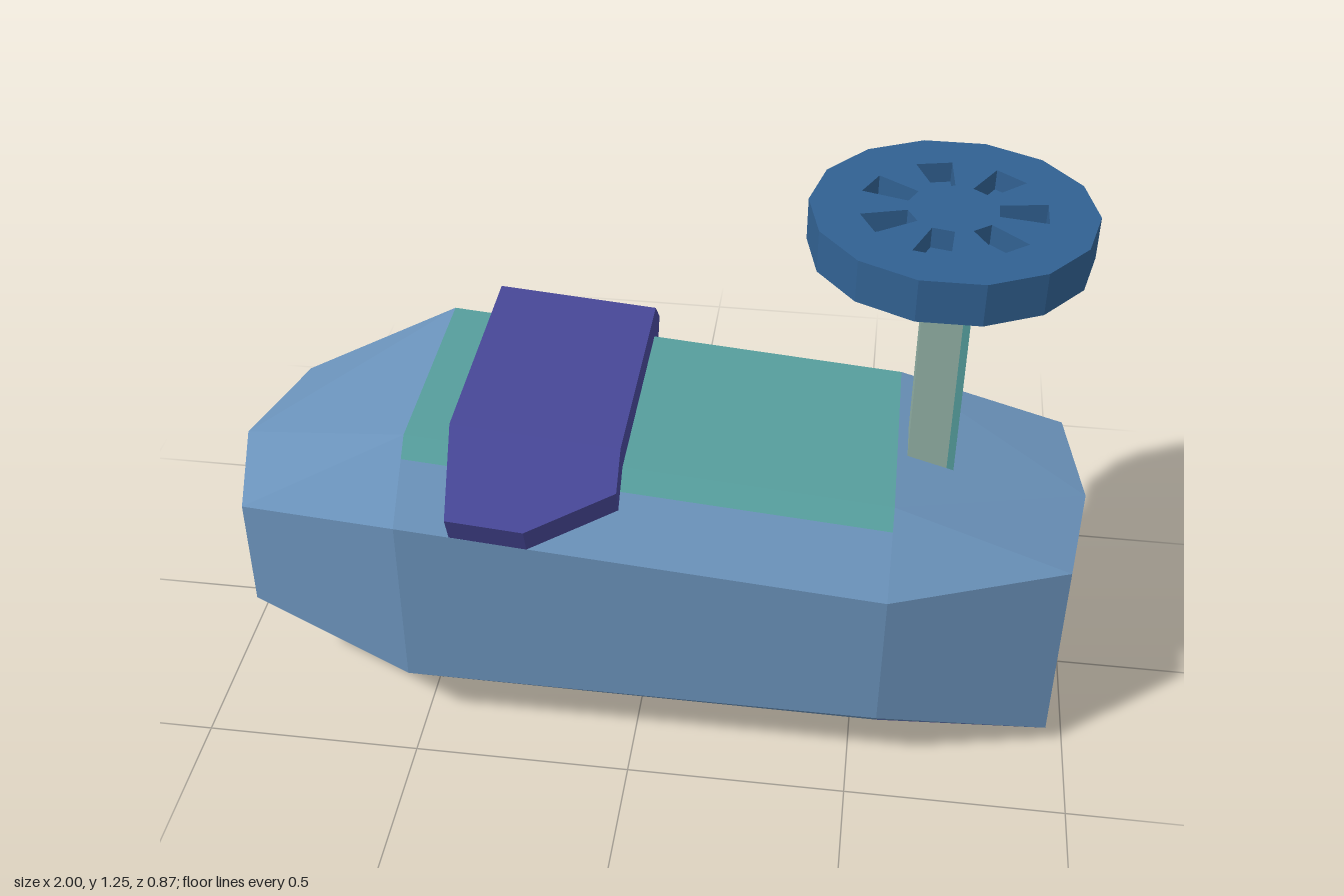
import * as THREE from 'three';

const mat = (name, color) => {
  const m = new THREE.MeshStandardMaterial({ color, flatShading: true });
  m.name = name;
  return m;
};

// Flat-faced geometry from convex polygons; with a centre given, faces are turned away from it
function facesGeometry(polys, centre) {
  const pos = [];
  for (const poly of polys) {
    const p = poly.map((c) => new THREE.Vector3(...c));
    for (let i = 1; i < p.length - 1; i++) {
      let tri = [p[0], p[i], p[i + 1]];
      if (centre) {
        const n = new THREE.Triangle(...tri).getNormal(new THREE.Vector3());
        if (n.dot(tri[0].clone().sub(centre)) < 0) tri = [tri[0], tri[2], tri[1]];
      }
      for (const v of tri) pos.push(v.x, v.y, v.z);
    }
  }
  const g = new THREE.BufferGeometry();
  g.setAttribute('position', new THREE.Float32BufferAttribute(pos, 3));
  g.computeVertexNormals();
  return g;
}

const lerp = (a, b, t) => a.map((v, i) => v + (b[i] - v) * t);
const flip = (p) => [p[0], p[1], -p[2]];

export function createModel() {
  const model = new THREE.Group();
  const blue = mat('bodyBlue', 0x6a92ba);
  const teal = mat('deckTeal', 0x57a09f);
  const purple = mat('bandPurple', 0x484899);
  const indigo = mat('undersideIndigo', 0x6468c0);
  const navy = mat('wheelNavy', 0x316192);
  const sage = mat('postSage', 0x93b2a6);
  const add = (name, geometry, material, parent = model) => {
    const m = new THREE.Mesh(geometry, material);
    m.name = name;
    parent.add(m);
    return m;
  };

  // Hull stations: edge points on the +z side, top to bottom
  const stations = [
    { x: -0.53, top: 0.74, high: 0.59, low: 0.155, base: 0.092, paint: 0.2, endX: -0.925, tipX: -1, endHigh: 0.51, endLow: 0.232 },
    { x: 0.56, top: 0.65, high: 0.5, low: 0.153, base: 0, paint: 0.06, endX: 0.957, tipX: 1, endHigh: 0.523, endLow: 0.048 },
  ].map((s) => {
    const T = [s.x, s.top, 0.262], H = [s.x, s.high, 0.41];
    const L = [s.x, s.low, 0.41], B = [s.x, s.base, 0.262];
    return {
      T, H, L, B,
      deckEdge: lerp(T, H, 0.26), baseEdge: lerp(B, L, s.paint), endBaseEdge: lerp(B, L, 0.32),
      EH: [s.endX, s.endHigh, 0.283], EL: [s.endX, s.endLow, 0.283],
      tipH: [s.tipX, s.endHigh, 0], tipL: [s.tipX, s.endLow, 0],
    };
  });
  const [a, b] = stations;
  const shell = [], deck = [], underside = [];
  const both = (list, poly) => list.push(poly, poly.map(flip));

  // Middle section
  both(shell, [a.deckEdge, b.deckEdge, b.H, a.H]);
  both(shell, [a.H, b.H, b.L, a.L]);
  both(shell, [a.L, b.L, b.baseEdge, a.baseEdge]);
  both(deck, [a.T, b.T, b.deckEdge, a.deckEdge]);
  deck.push([a.T, b.T, flip(b.T), flip(a.T)]);
  both(underside, [a.B, b.B, b.baseEdge, a.baseEdge]);
  underside.push([a.B, b.B, flip(b.B), flip(a.B)]);

  // Tapered ends, with top and bottom fanned from the tip
  for (const s of stations) {
    both(shell, [s.T, s.H, s.EH]);
    both(shell, [s.H, s.L, s.EL, s.EH]);
    both(shell, [s.L, s.endBaseEdge, s.EL]);
    both(shell, [s.EH, s.EL, s.tipL, s.tipH]);
    shell.push([s.tipH, flip(s.EH), flip(s.T), s.T, s.EH]);
    both(underside, [s.B, s.endBaseEdge, s.EL]);
    underside.push([s.tipL, flip(s.EL), flip(s.B), s.B, s.EL]);
  }
  const centre = new THREE.Vector3(0, 0.35, 0);
  add('hull', facesGeometry(shell, centre), blue);
  add('deck', facesGeometry(deck, centre), teal);
  add('underside', facesGeometry(underside, centre), indigo);

  // Folded band over the deck: flat middle and two pointed side flaps
  const band = new THREE.Group();
  band.name = 'band';
  model.add(band);
  const slab = (name, outer, inner) => {
    const polys = [outer, [...inner].reverse()];
    outer.forEach((p, i) => {
      const j = (i + 1) % outer.length;
      polys.push([p, inner[i], inner[j], outer[j]]);
    });
    add(name, facesGeometry(polys), purple, band);
  };
  const inset = (p) => [p[0], p[1] - 0.067, p[2] - Math.sign(p[2]) * 0.026];
  const backTop = [-0.417, 0.798, 0.285], frontTop = [-0.04, 0.767, 0.285];
  const middle = [backTop, frontTop, flip(frontTop), flip(backTop)];
  slab('bandMiddle', middle, middle.map(inset));
  const flap = [frontTop, backTop, [-0.405, 0.648, 0.437], [-0.232, 0.633, 0.437], [-0.04, 0.698, 0.355]];
  slab('leftFlap', flap, flap.map(inset));
  const mirrored = flap.map(flip).reverse();
  slab('rightFlap', mirrored, mirrored.map(inset));

  // Post: sage bar with a teal bar along its +x side
  add('post', new THREE.BoxGeometry(0.09, 0.55, 0.116), sage).position.set(0.628, 0.885, 0.004);
  add('postFace', new THREE.BoxGeometry(0.016, 0.55, 0.116), teal).position.set(0.681, 0.885, 0.004);

  // Wheel: fourteen-sided disc with seven recesses in the top
  const wheel = new THREE.Group();
  wheel.name = 'wheel';
  wheel.position.set(0.63, 1.157, 0);
  model.add(wheel);
  const disc = new THREE.Shape();
  for (let i = 0; i < 14; i++) {
    const t = (i / 14) * Math.PI * 2;
    disc[i ? 'lineTo' : 'moveTo'](0.305 * Math.cos(t), 0.305 * Math.sin(t));
  }
  disc.closePath();
  const ring = disc.clone();
  for (let i = 0; i < 7; i++) {
    const t = (i / 7) * Math.PI * 2;
    const pts = [[0.095, -0.024], [0.095, 0.024], [0.197, 0.04], [0.197, -0.04]]
      .map(([r, w]) => new THREE.Vector2(r, w).rotateAround(new THREE.Vector2(), t));
    ring.holes.push(new THREE.Path(pts));
  }
  const layer = (name, shape, y, depth) => {
    const g = new THREE.ExtrudeGeometry(shape, { depth, bevelEnabled: false });
    g.rotateX(-Math.PI / 2);
    add(name, g, navy, wheel).position.y = y;
  };
  layer('wheelBase', disc, 0, 0.05);
  layer('wheelTop', ring, 0.05, 0.047);

  return model;
}
